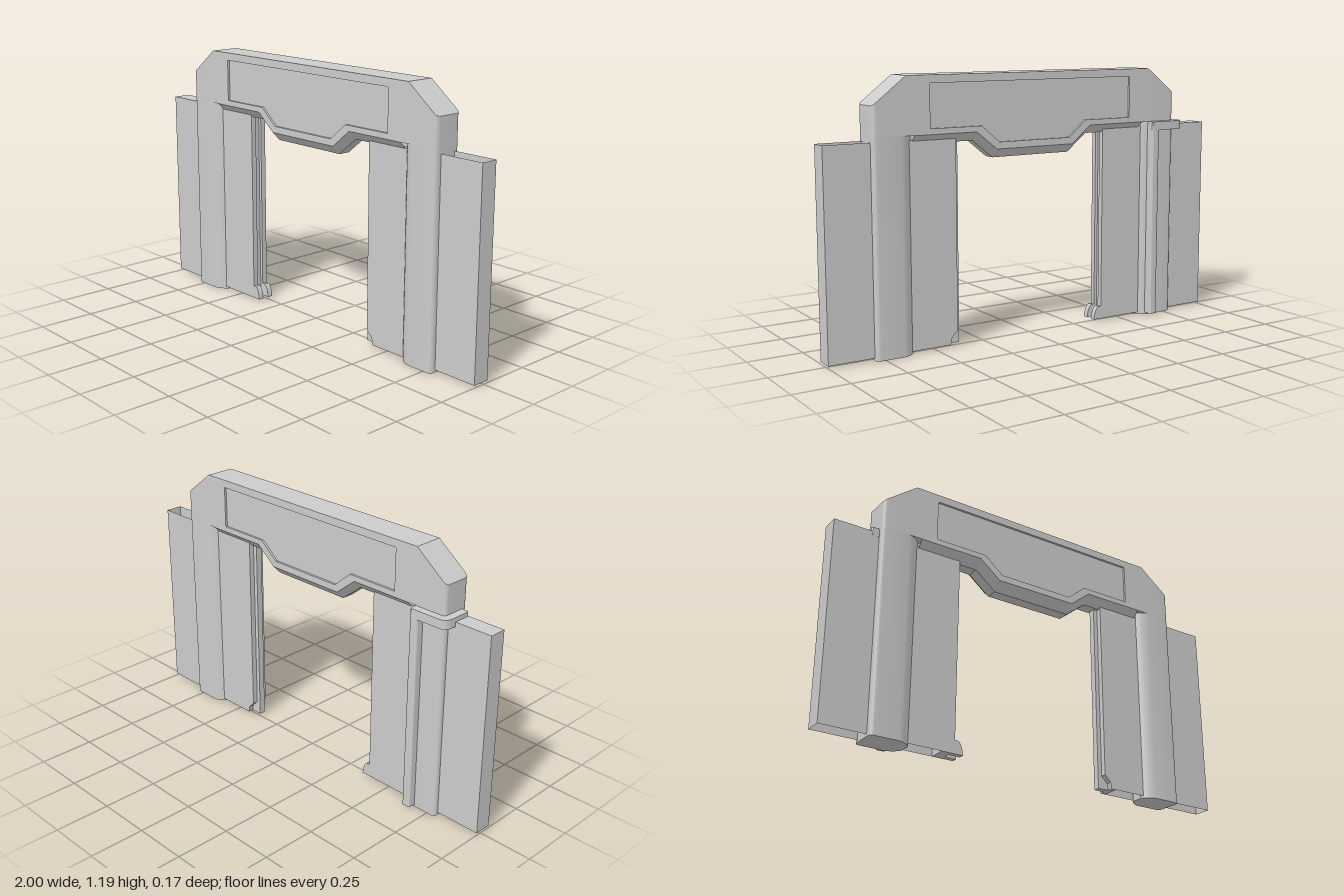
import * as THREE from 'three';
import { toCreasedNormals } from 'three/addons/utils/BufferGeometryUtils.js';

const FRONT = 0.085, BACK = -0.05, CUT = 0.04;
const material = new THREE.MeshStandardMaterial({ color: 0xcccccc });
const thin = new THREE.MeshStandardMaterial({ color: 0xcccccc, side: THREE.DoubleSide });

export function createModel() {
  const group = new THREE.Group();

  const add = (name, geometry, mat = material) => {
    const mesh = new THREE.Mesh(geometry, mat);
    mesh.name = name;
    group.add(mesh);
    return mesh;
  };
  const polygon = pts => new THREE.Shape(pts.map(p => new THREE.Vector2(p[0], p[1])));

  // outline in x, y extruded between two z values
  const slab = (name, shape, z0, z1) => {
    const g = new THREE.ExtrudeGeometry(shape, { depth: z1 - z0, bevelEnabled: false, curveSegments: 8 });
    return add(name, g.translate(0, 0, z0));
  };

  // plan in x, z extruded between two heights; the top may follow a slope
  const upright = (name, pts, y0, y1, topAt) => {
    const g = new THREE.ExtrudeGeometry(polygon(pts.map(([x, z]) => [x, -z])), { depth: y1 - y0, bevelEnabled: false });
    g.rotateX(-Math.PI / 2).translate(0, y0, 0);
    const p = g.attributes.position;
    if (topAt) for (let i = 0; i < p.count; i++) {
      if (p.getY(i) > y1 - 0.001) p.setY(i, topAt(Math.abs(p.getX(i))));
    }
    return add(name, toCreasedNormals(g, 0.5));
  };

  // points of a curved corner from a to b, pulled towards c
  const bend = (a, c, b, n = 6) => new THREE.QuadraticBezierCurve(
    new THREE.Vector2(...a), new THREE.Vector2(...c), new THREE.Vector2(...b)
  ).getPoints(n).map(v => [v.x, v.y]);

  // Lintel: slim core, full-width body, and face plates framing a sunken panel
  const shoulderTop = x => 1.07 + (0.79 - x) * 0.12 / 0.155;
  const top = [[0.7, shoulderTop(0.7)], [0.635, 1.19], [-0.635, 1.19], [-0.7, shoulderTop(0.7)]];
  const edge = [[-0.6, 0.94], [-0.3, 0.94], [-0.2, 0.86], [0.2, 0.86], [0.3, 0.94], [0.6, 0.94]];
  const lintel = () => polygon([[-0.7, 0.94], ...edge, [0.7, 0.94], ...top]);
  slab('lintelBody', lintel(), BACK + 0.01, FRONT - 0.01);
  slab('lintelCore', polygon([...edge.map(([x, y]) => [x, y - CUT]), [0.6, 1], [-0.6, 1]]), BACK + CUT, FRONT - CUT);
  const panel = [[-0.525, 0.965], [-0.275, 0.965], [-0.185, 0.89], [0.185, 0.89],
    [0.275, 0.965], [0.525, 0.965], [0.525, 1.155], [-0.525, 1.155]];
  for (const [name, z0] of [['frontPanelFrame', FRONT - 0.01], ['backPanelFrame', BACK]]) {
    const shape = lintel();
    shape.holes.push(new THREE.Path(panel.map(p => new THREE.Vector2(...p))));
    slab(name, shape, z0, z0 + 0.01);
  }

  // sloped bands along the lower edges of the lintel
  for (const [name, zOut, zIn] of [['frontLowerChamfer', FRONT, FRONT - CUT], ['backLowerChamfer', BACK, BACK + CUT]]) {
    const v = [];
    for (let i = 0; i < edge.length - 1; i++) {
      const [[ax, ay], [bx, by]] = [edge[i], edge[i + 1]];
      const quad = [[ax, ay - CUT, zIn], [bx, by - CUT, zIn], [bx, by, zOut], [ax, ay, zOut]];
      const order = zOut > 0 ? [0, 1, 2, 0, 2, 3] : [0, 2, 1, 0, 3, 2];
      order.forEach(k => v.push(...quad[k]));
    }
    const g = new THREE.BufferGeometry();
    g.setAttribute('position', new THREE.Float32BufferAttribute(v, 3));
    g.computeVertexNormals();
    add(name, g);
  }

  for (const s of [-1, 1]) {
    const side = s > 0 ? 'left' : 'right';
    const flip = pts => pts.map(([x, y]) => [x * s, y]);

    // Pillar with softened inner edges, and the sloped shoulder above it
    const outer = [
      ...bend([0.77, BACK], [0.79, BACK], [0.79, BACK + 0.02]),
      ...bend([0.79, FRONT - 0.02], [0.79, FRONT], [0.77, FRONT])];
    upright(side + 'Pillar', flip([...outer,
      ...bend([0.66, FRONT], [0.625, FRONT - 0.005], [0.6, FRONT - CUT]),
      ...bend([0.6, BACK + CUT], [0.625, BACK + 0.005], [0.66, BACK])]), 0, 0.94);
    upright(side + 'Shoulder', flip([...outer, [0.66, FRONT], [0.66, BACK]]), 0.94, 1.07, shoulderTop);

    // Hollow wall: open below, and open above on the left
    const box = new THREE.BoxGeometry(0.55, 0.91, 0.08);
    const skip = s > 0 ? [2, 3] : [3];
    box.setIndex([...box.index.array].filter((_, i) => !skip.includes(Math.floor(i / 6))));
    add(side + 'Wall', box, thin).position.set(s * 0.725, 0.465, 0.015);

    // Wall edge: twin lips, with a foot on the right and a matching notch on the left
    const lip = s > 0
      ? [[0.39, 0.92], [0.39, 0.07], [0.4, 0.06], [0.42, 0.04], [0.425, 0.01]]
      : [[0.39, 0.92], [0.39, 0.07], ...bend([0.375, 0.07], [0.355, 0.06], [0.35, 0.01])];
    for (const [name, z0] of [['FrontLip', 0.03], ['BackLip', -0.025]]) {
      slab(side + name, polygon(flip([[0.45, 0.01], [0.45, 0.92], ...lip])), z0, z0 + 0.025);
    }
    // tongue on the left, groove floor on the right
    const inner = s > 0 ? 0.37 : 0.405;
    slab(side + (s > 0 ? 'Tongue' : 'Groove'),
      polygon(flip([[0.45, 0.01], [0.45, 0.92], [inner, 0.92], [inner, 0.01]])), 0, 0.03);
  }

  // Conduit: collar wrapped round the right pillar, and its drop down the back
  upright('conduitCollar', [
    [-0.64, -0.05], [-0.64, -0.08], [-0.645, -0.085],
    ...bend([-0.785, -0.085], [-0.825, -0.085], [-0.825, -0.045]),
    [-0.825, 0.05], [-0.82, 0.056], [-0.785, 0.056], [-0.785, -0.045]], 0.9, 0.94);
  upright('conduitDrop', [
    [-0.64, -0.045], ...bend([-0.64, -0.077], [-0.64, -0.085], [-0.648, -0.085], 4),
    ...bend([-0.672, -0.085], [-0.68, -0.085], [-0.68, -0.077], 4), [-0.68, -0.045]], 0.01, 0.92);

  return group;
}
